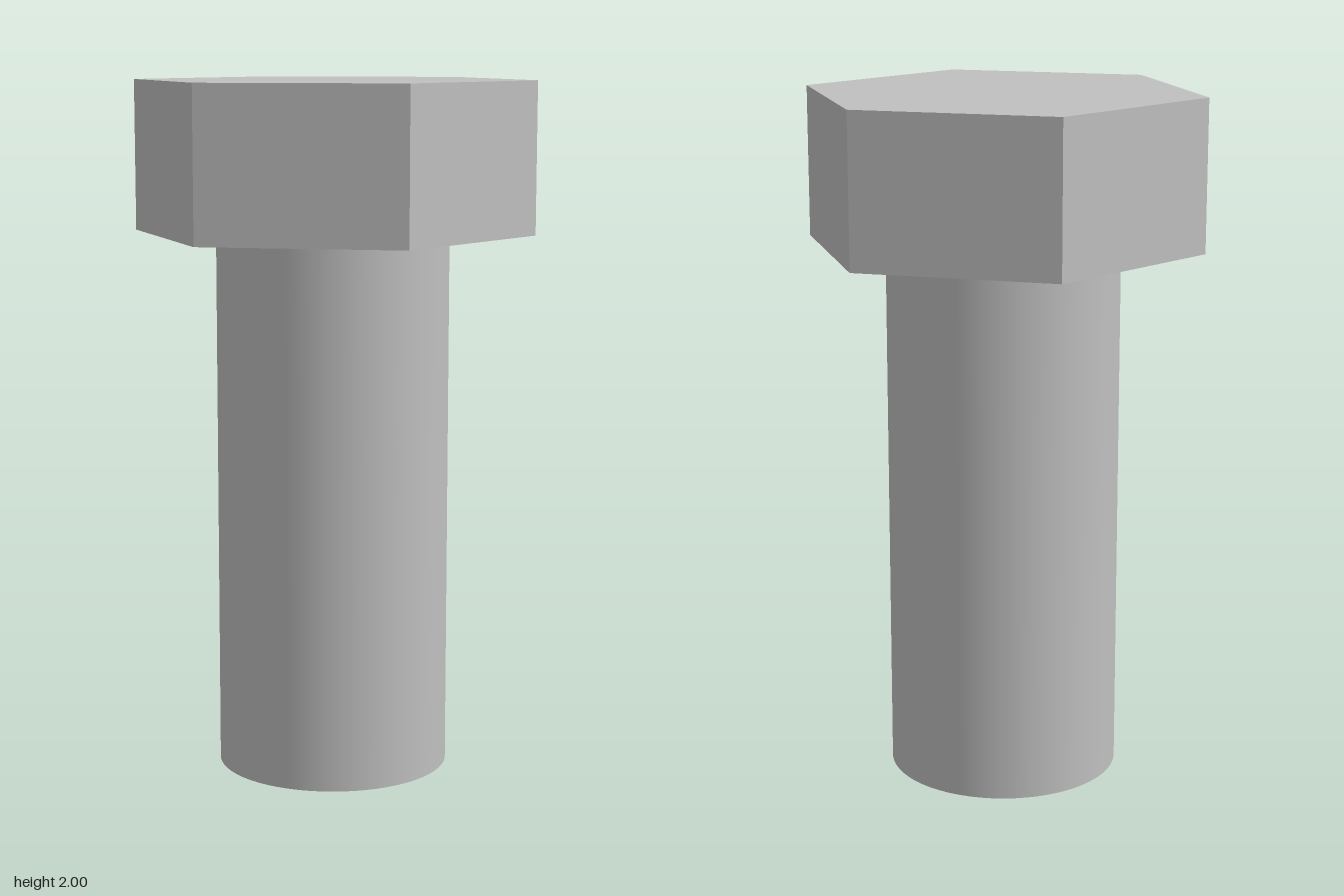
import * as THREE from 'three';

const HEIGHT = 2;
const HEAD_BOTTOM = 1.565;
const HEAD_RADIUS = 0.583; // centre to corner
const SHANK_RADIUS = 0.336;

export function createModel() {
  const bolt = new THREE.Group();
  bolt.name = 'hexBolt';

  const steel = new THREE.MeshStandardMaterial({ color: 0xc0c0c0 });
  steel.name = 'steel';
  const facetedSteel = steel;

  // Hexagonal head, corners pointing to front and back, with crisp faces
  const headHeight = HEIGHT - HEAD_BOTTOM;
  const headGeometry = new THREE.CylinderGeometry(HEAD_RADIUS, HEAD_RADIUS, headHeight, 6).toNonIndexed();
  headGeometry.computeVertexNormals();
  const head = new THREE.Mesh(headGeometry, facetedSteel);
  head.name = 'hexHead';
  head.position.y = HEAD_BOTTOM + headHeight / 2;
  bolt.add(head);

  // Smooth round shank with a flat end
  const shank = new THREE.Mesh(
    new THREE.CylinderGeometry(SHANK_RADIUS, SHANK_RADIUS, HEAD_BOTTOM, 64),
    steel
  );
  shank.name = 'shank';
  shank.position.y = HEAD_BOTTOM / 2;
  bolt.add(shank);

  return bolt;
}
